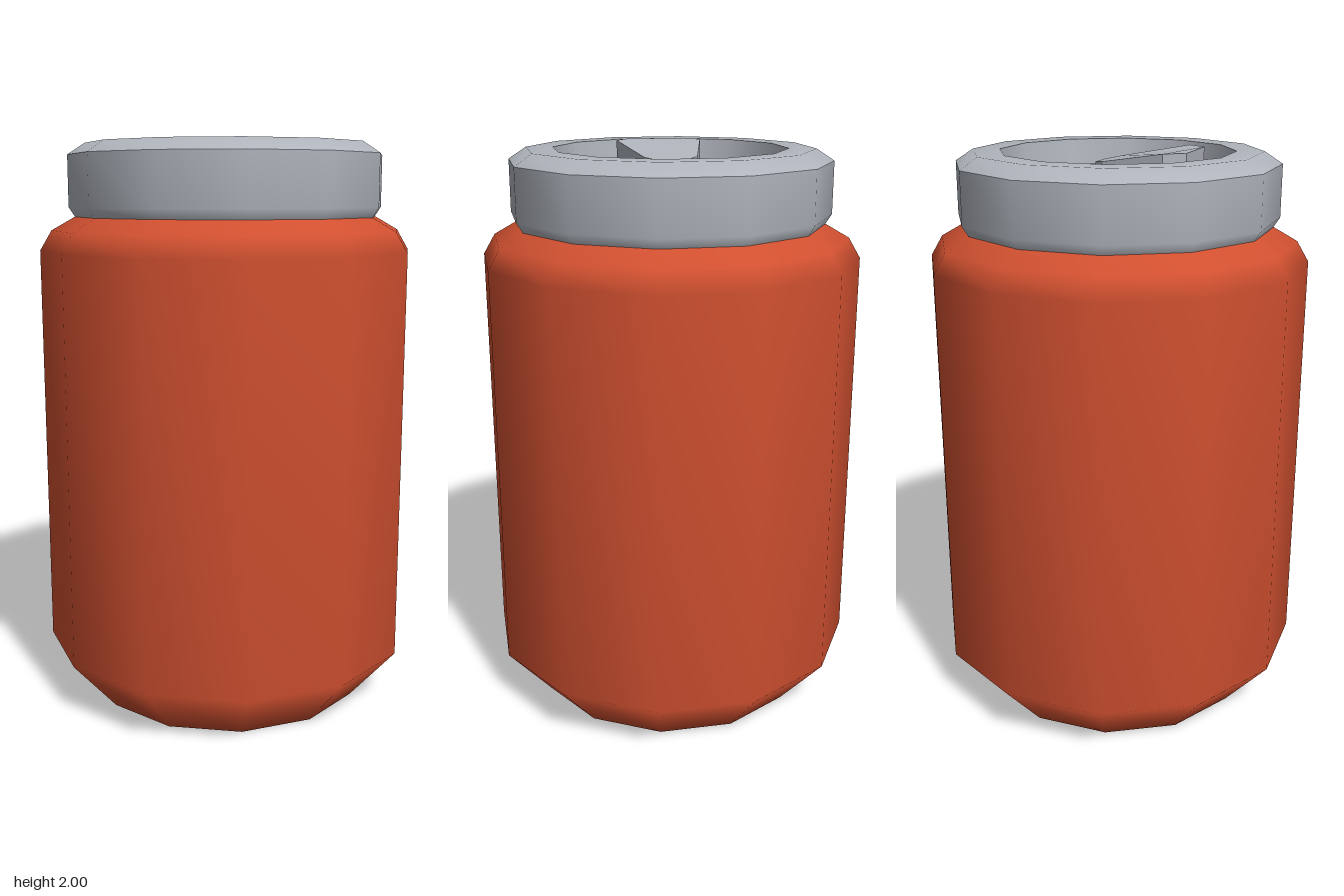
import * as THREE from 'three';

const SIDES = 12;
const paint = new THREE.MeshStandardMaterial({ color: 0xd05030 });
paint.name = 'orange paint';
const metal = new THREE.MeshStandardMaterial({ color: 0xb0b5bd });
metal.name = 'grey metal';

// Twelve-sided ring surface; radii are measured to the middle of each flat side.
function ring(name, profile, material) {
  const k = 1 / Math.cos(Math.PI / SIDES);
  const points = profile.map(([r, y]) => new THREE.Vector2(r * k, y));
  const mesh = new THREE.Mesh(new THREE.LatheGeometry(points, SIDES, Math.PI / SIDES), material);
  mesh.name = name;
  return mesh;
}

// Pull tab: a tapered plate standing on the recess floor, its top sloping down to the back.
function pullTab(floor) {
  const half = [[0.045, -0.062], [0.092, -0.02], [0.152, 0.21], [0.105, 0.276]];
  const outline = [...half, ...half.map(([x, z]) => [-x, z]).reverse()];
  const shape = new THREE.Shape(outline.map(([x, z]) => new THREE.Vector2(x, -z)));
  const geometry = new THREE.ExtrudeGeometry(shape, { depth: 0.1, bevelEnabled: false });
  geometry.rotateX(-Math.PI / 2);
  const p = geometry.attributes.position;
  for (let i = 0; i < p.count; i++) {
    const top = 2 - Math.max(0, 0.21 - p.getZ(i)) * 0.17;
    p.setY(i, p.getY(i) > 0.05 ? top : floor);
  }
  geometry.computeVertexNormals();
  const mesh = new THREE.Mesh(geometry, metal);
  mesh.name = 'pullTab';
  return mesh;
}

export function createModel() {
  const can = new THREE.Group();
  can.name = 'drinkCan';
  const floor = 1.9;

  // Painted body with tapered base and rounded shoulder
  can.add(ring('body', [[0, 0], [0.48, 0], [0.64, 0.19], [0.64, 1.62], [0.6, 1.69], [0.52, 1.737]], paint));

  // Lid: separate surfaces keep the edges between them sharp
  const lid = new THREE.Group();
  lid.name = 'lid';
  lid.add(
    ring('rimSide', [[0.515, 1.73], [0.54, 1.77], [0.54, 1.95]], metal),
    ring('rimTop', [[0.54, 1.95], [0.48, 1.99], [0.39, 1.99]], metal),
    ring('recessWall', [[0.39, 1.99], [0.38, floor]], metal),
    ring('recessFloor', [[0.38, floor], [0, floor]], metal),
    pullTab(floor),
  );
  can.add(lid);
  return can;
}
